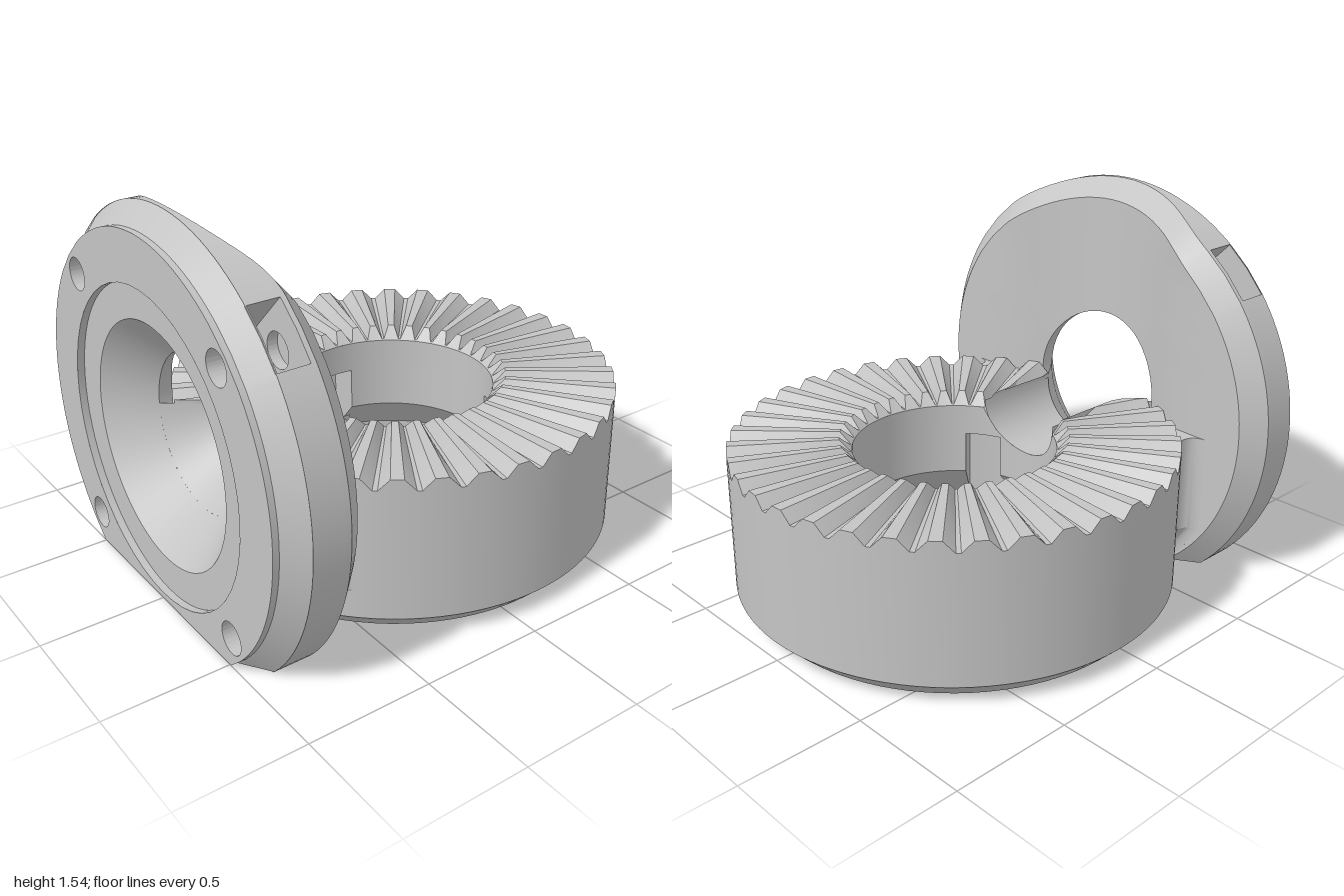
import * as THREE from 'three';
import { toCreasedNormals } from 'three/addons/utils/BufferGeometryUtils.js';

const RAD = Math.PI / 180;
const CX = 0.1;    // axis of the toothed ring
const CY = 0.645;  // height of the upright flange's axis
const metal = new THREE.MeshStandardMaterial({ color: 0xc4c4c4, side: THREE.DoubleSide });
metal.name = 'grey metal';

// Skin a list of equally long cross-sections, leaving out collapsed triangles
function skin(sections) {
  const pos = [], a = new THREE.Vector3(), b = new THREE.Vector3();
  const tri = (p, q, r) => {
    a.subVectors(q, p); b.subVectors(r, p);
    if (a.cross(b).length() > 1e-8) for (const v of [p, q, r]) pos.push(v.x, v.y, v.z);
  };
  for (let i = 0; i + 1 < sections.length; i++) {
    const s = sections[i], t = sections[i + 1];
    for (let j = 0; j + 1 < s.length; j++) {
      tri(s[j], t[j], s[j + 1]);
      tri(t[j], t[j + 1], s[j + 1]);
    }
  }
  const g = new THREE.BufferGeometry();
  g.setAttribute('position', new THREE.Float32BufferAttribute(pos, 3));
  return toCreasedNormals(g, 0.45);
}

function add(group, name, geometry) {
  const m = new THREE.Mesh(geometry, metal);
  m.name = name;
  group.add(m);
  return m;
}

const V = (x, y, z) => new THREE.Vector3(x, y, z);
const ringPoint = (r, deg, y) => V(CX + r * Math.cos(deg * RAD), y, r * Math.sin(deg * RAD));

// Surface turned about the x axis from [radius, x] pairs
const turned = pairs => toCreasedNormals(new THREE.LatheGeometry(
  pairs.map(p => new THREE.Vector2(...p)), 72).rotateZ(-Math.PI / 2), 0.45);

// Front of the flange in plan: flat, with a scoop that clears the ring
function frontX(z) {
  const c = CX - Math.sqrt(Math.max(0, 0.81 - z * z)), k = 0.05;
  const h = Math.max(k - Math.abs(c + 0.67), 0) / k;
  return Math.min(c, -0.67) - h * h * k * 0.25;
}

// Point of the flange at a radius and angle from the top, cut off at the ground
function flangePoint(r, deg, xOf) {
  const c = Math.cos(deg * RAD);
  const rc = c < 0 ? Math.min(r, -CY / c) : r;
  const z = rc * Math.sin(deg * RAD);
  return V(xOf(rc, z), CY + rc * c, z);
}

// Nut slots: the upper pair opens diagonally, the lower pair straight down
const SLOTS = [
  { lo: 37.35, hi: 52.65, dy: -0.2, dz: -0.2, bolt: [0.52, 1.165] },
  { lo: 136.1, hi: 147.6, dy: 0.25, dz: 0, bolt: [0.52, 0.125] },
  { lo: 212.4, hi: 223.9, dy: 0.25, dz: 0, bolt: [-0.52, 0.125] },
  { lo: 307.35, hi: 322.65, dy: -0.2, dz: 0.2, bolt: [-0.52, 1.165] },
];
function slotFloor(deg, slot, x) {
  const p = flangePoint(0.9, deg, () => x);
  return slot ? p.add(V(0, slot.dy, slot.dz)) : p;
}

function buildFlange() {
  const g = new THREE.Group();
  g.name = 'uprightFlange';
  const steps = [[135.8, null], [224.2, null]];
  for (let a = 0; a <= 360; a += 3)
    if (SLOTS.every(s => a < s.lo || a > s.hi)) steps.push([a, null]);
  for (const s of SLOTS)
    steps.push([s.lo, null], [s.lo, s], [(s.lo + s.hi) / 2, s], [s.hi, s], [s.hi, null]);
  steps.sort((p, q) => p[0] - q[0]);

  const front = (r, z) => frontX(z) - Math.max(0, r - 0.82);
  const rimX = (r, z) => Math.min(-0.77, front(r, z));
  const back = r => -0.975 + Math.max(0, r - 0.82);
  // Scooped face with its chamfer
  add(g, 'flangeFront', skin(steps.map(([a]) => [
    flangePoint(0.32, a, () => -0.8),
    ...[0.32, 0.4, 0.5, 0.6, 0.7, 0.82, 0.9].map(r => flangePoint(r, a, front)),
    flangePoint(0.9, a, rimX),
  ])));
  // Rim with the floors and ends of the nut slots
  add(g, 'flangeRim', skin(steps.map(([a, s]) => [
    slotFloor(a, s, flangePoint(0.9, a, rimX).x), slotFloor(a, s, -0.9),
  ])));
  add(g, 'flangeBackChamfer', skin(steps.map(([a]) => [
    flangePoint(0.9, a, () => -0.9), flangePoint(0.9, a, back),
    flangePoint(0.82, a, back), flangePoint(0.82, a, () => -1),
  ])));

  // Flat faces drawn in the z-y plane
  const circle = (z, y, r) => new THREE.Path().absarc(z, y, r, 0, Math.PI * 2, true);
  const plate = (name, pts, holes, x) => {
    const s = new THREE.Shape(pts.map(p => new THREE.Vector2(p.z, p.y)));
    s.holes = holes;
    add(g, name, new THREE.ShapeGeometry(s, 24).rotateY(-Math.PI / 2).translate(x, 0, 0));
  };
  const rim = [];
  for (const [a] of steps) {
    const p = flangePoint(0.82, a, () => 0);
    if (a < 360 && (!rim.length || rim[rim.length - 1].distanceTo(p) > 1e-5)) rim.push(p);
  }
  plate('flangeBackFace', rim,
    [circle(0, CY, 0.62), ...SLOTS.map(s => circle(...s.bolt, 0.065))], -1);
  for (const s of SLOTS) {
    const inSlot = [s.lo, (s.lo + s.hi) / 2, s.hi];
    const outline = [
      ...inSlot.map(a => flangePoint(0.9, a, () => 0)),
      ...inSlot.reverse().map(a => slotFloor(a, s, 0)),
    ];
    for (const x of [-0.9, -0.77]) plate('slotWall', outline, [circle(...s.bolt, 0.065)], x);
    const [z, y] = s.bolt;
    add(g, 'boltHole', turned([[0.065, -1], [0.065, -0.9]]).translate(0, y, z));
    add(g, 'boltHoleEnd', turned([[0.065, -0.77], [0.065, -0.73], [0, -0.73]]).translate(0, y, z));
  }
  // Stepped conical recess through the flange
  add(g, 'flangeRecess',
    turned([[0.62, -1], [0.62, -0.97], [0.48, -0.97], [0.32, -0.8]]).translate(0, CY, 0));
  return g;
}

// Radius of the cable channel along x
const channelR = x => (x < -0.65 ? 0.2 + 0.12 * (-0.65 - x) / 0.15 : 0.2);

function buildRing() {
  const g = new THREE.Group();
  g.name = 'toothedRing';
  // Half-angle of the channel opening at each radius
  const gap = r => {
    let R = 0.2;
    for (let i = 0; i < 30; i++) {
      const x = CX - Math.sqrt(r * r - R * R);
      R = 0.5 * (R + Math.min(0.32, channelR(x)));
    }
    return Math.asin(R / r) / RAD;
  };
  const clampAngle = (r, a) => Math.max(-180 + gap(r), Math.min(180 - gap(r), a));

  // 36 radial teeth with a bevelled inner edge
  const teeth = [];
  for (let i = -18; i <= 18; i++)
    for (const [d, y] of [[-3.4, 0.66], [-0.6, 0.615], [0.6, 0.615], [3.4, 0.66]]) {
      const a = i * 10 + 1.3 + d;
      teeth.push([[0.41, 0.61], [y - 0.2, y],
        ...[0.55, 0.65, 0.75, 0.8, 0.85, 0.9].map(r => [r, y])]
        .map(([r, h]) => ringPoint(r, clampAngle(r, a), h)));
    }
  add(g, 'radialTeeth', skin(teeth));

  // Outer wall follows the teeth down to the bottom chamfer
  const wall = teeth.map(s => {
    const t = s[s.length - 1], a = Math.atan2(t.z, t.x - CX) / RAD;
    return [t, ringPoint(0.9, a, 0.08)];
  });
  add(g, 'ringOuterWall', skin(wall));
  const base = [];
  for (let a = 0; a <= 360; a += 4)
    base.push([[0.9, 0.08], [0.82, 0], [0.587, 0]].map(([r, y]) => ringPoint(r, a, y)));
  add(g, 'ringBase', skin(base));

  // Bore, conical shoulder, counterbore and three key notches
  const keys = [30, 150, 270], half = 11, bore = [];
  for (let a = 0; a <= 360; a += 2.5)
    if (keys.every(k => Math.abs(a - k) > half)) bore.push([a, false]);
  for (const k of keys) {
    bore.push([k - half, false], [k - half, true]);
    for (let d = -8; d <= 8; d += 4) bore.push([k + d, true]);
    bore.push([k + half, true], [k + half, false]);
  }
  bore.sort((p, q) => p[0] - q[0]);
  add(g, 'ringBore', skin(bore.map(([a, key]) => {
    const z = 0.41 * Math.sin(a * RAD);
    const open = Math.cos(a * RAD) < 0 && Math.abs(z) < 0.2;
    const top = open ? Math.min(0.61, CY - Math.sqrt(0.04 - z * z)) : 0.61;
    const r = key ? 0.587 : 0.41, notch = Math.min(0.48, top);
    return [[0.41, top], [0.41, notch], [r, notch],
      [r, 0.3], [0.587, 0.12], [0.587, 0]].map(([q, y]) => ringPoint(q, a, y));
  })));

  // Open channel from the bore to the flange opening
  const channel = [];
  for (let i = 0; i <= 24; i++) {
    const t = (-90 + i * 7.5) * RAD;
    const end = CX - Math.sqrt(0.41 ** 2 - (0.2 * Math.sin(t)) ** 2);
    channel.push([-0.8, -0.65, end].map(x => {
      const R = channelR(x);
      return V(x, CY - R * Math.cos(t), R * Math.sin(t));
    }));
  }
  add(g, 'channel', skin(channel));
  return g;
}

function buildWeb() {
  const g = new THREE.Group();
  g.name = 'connectingWeb';
  // Filleted blocks either side of the channel, drawn in towards the ground
  const s = new THREE.Shape();
  s.moveTo(-0.76, 0.33);
  s.lineTo(-0.72, 0.66);
  s.lineTo(-0.67, 0.66);
  s.quadraticCurveTo(-0.665, 0.6, -0.61, 0.598);
  s.quadraticCurveTo(-0.58, 0.598, -0.555, 0.62);
  s.lineTo(-0.53, 0.57);
  s.lineTo(-0.66, 0.33);
  s.closePath();
  const outline = s.getPoints(8);
  const level = (y, inset) => outline.map(p => V(p.x, y, Math.max(0.33, p.y - inset)));
  const centre = (y, z) => outline.map(() => V(-0.66, y, z));
  for (const side of [1, -1])
    add(g, 'webSide', skin([
      centre(0.61, 0.5), level(0.61, 0), level(0.2, 0), level(0, 0.14), centre(0, 0.4),
    ])).scale.z = side;
  add(g, 'webFloor', new THREE.BoxGeometry(0.22, 0.3, 0.68).translate(-0.71, 0.15, 0));
  return g;
}

export function createModel() {
  const model = new THREE.Group();
  model.name = 'rosetteBracket';
  model.add(buildFlange(), buildRing(), buildWeb());
  return model;
}
